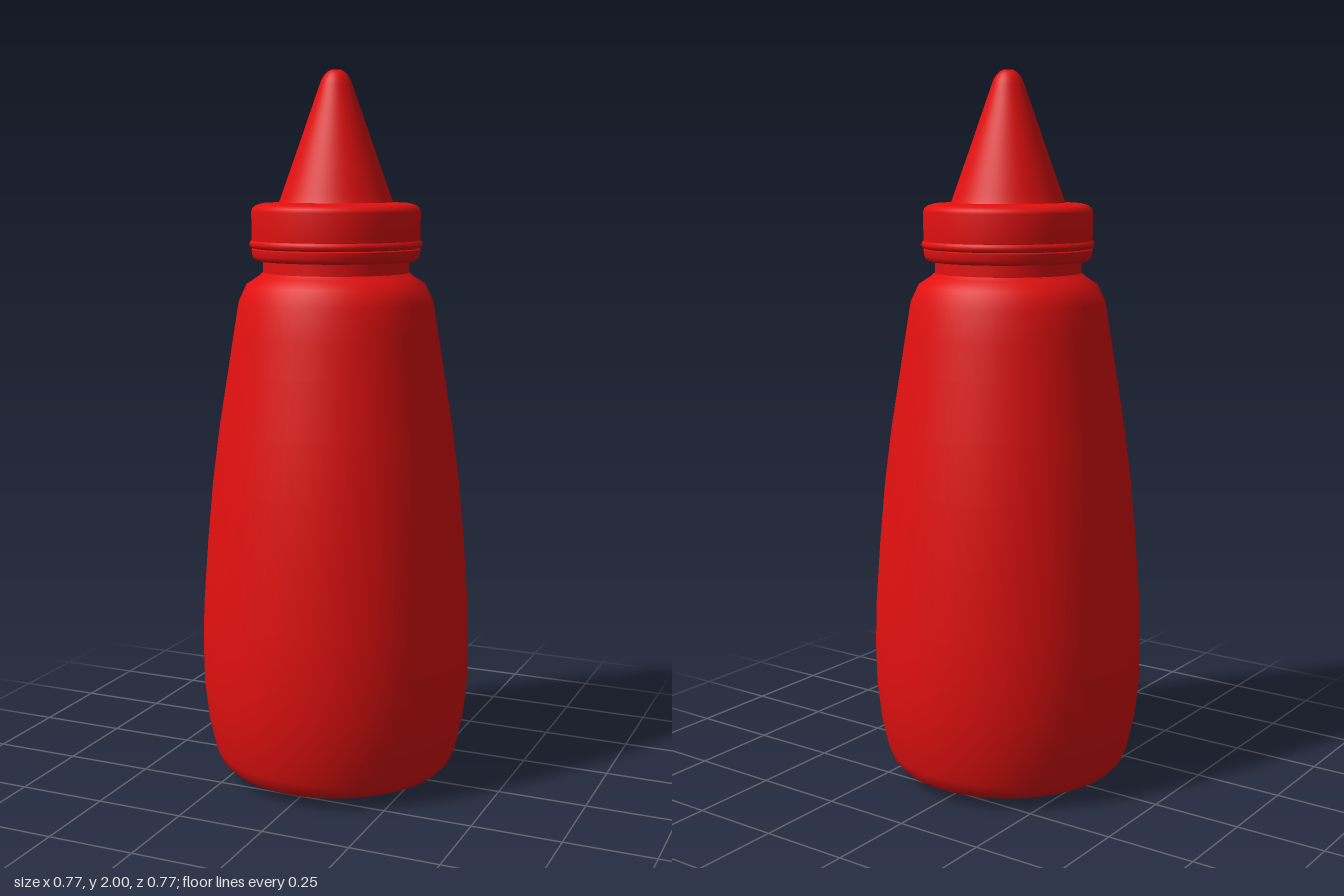
import * as THREE from 'three';

const SEGMENTS = 64;

export function createModel() {
  const group = new THREE.Group();
  const red = new THREE.MeshStandardMaterial({ color: 0xe31010 });
  red.name = 'red plastic';

  // Revolves a profile of [radius, height] pairs, listed bottom to top
  function turned(name, profile) {
    const points = profile.map(([r, y]) => new THREE.Vector2(r, y));
    const mesh = new THREE.Mesh(new THREE.LatheGeometry(points, SEGMENTS), red);
    mesh.name = name;
    group.add(mesh);
  }

  // Squeezable body with rounded foot, tapering sides and shoulder
  turned('bottleBody', [
    [0, 0], [0.17, 0.002], [0.26, 0.01], [0.32, 0.032], [0.337, 0.05], [0.35, 0.08],
    [0.37, 0.17], [0.381, 0.27], [0.383, 0.38], [0.38, 0.5], [0.366, 0.69],
    [0.35, 0.86], [0.329, 1.02], [0.303, 1.18], [0.287, 1.28], [0.272, 1.37],
    [0.25, 1.417], [0.215, 1.44], [0.204, 1.45],
  ]);

  // Neck between the shoulder and the cap
  turned('neck', [[0.204, 1.445], [0.204, 1.52]]);

  // Seal ring under the cap
  turned('sealRing', [
    [0.19, 1.483], [0.222, 1.483], [0.229, 1.487], [0.233, 1.497], [0.235, 1.513],
    [0.234, 1.516], [0.226, 1.518],
  ]);

  // Rounded bead at the lower edge of the cap
  turned('capBead', [
    [0.226, 1.515], [0.237, 1.519], [0.241, 1.527], [0.239, 1.535], [0.232, 1.54],
  ]);

  // Screw cap with softened top edge
  turned('cap', [
    [0.2, 1.536], [0.232, 1.536], [0.235, 1.54], [0.235, 1.58], [0.235, 1.618],
    [0.232, 1.627], [0.222, 1.635], [0.205, 1.64], [0.15, 1.643], [0, 1.643],
  ]);

  // Conical nozzle with a rounded tip
  turned('nozzle', [
    [0.16, 1.64], [0.155, 1.65], [0.148, 1.67], [0.098, 1.81], [0.046, 1.958],
    [0.04, 1.974], [0.031, 1.988], [0.022, 1.996], [0.014, 2],
  ]);

  // Flat end of the nozzle
  const tip = new THREE.Mesh(new THREE.CircleGeometry(0.014, 32), red);
  tip.name = 'nozzleTip';
  tip.rotation.x = -Math.PI / 2;
  tip.position.y = 2;
  group.add(tip);

  return group;
}
